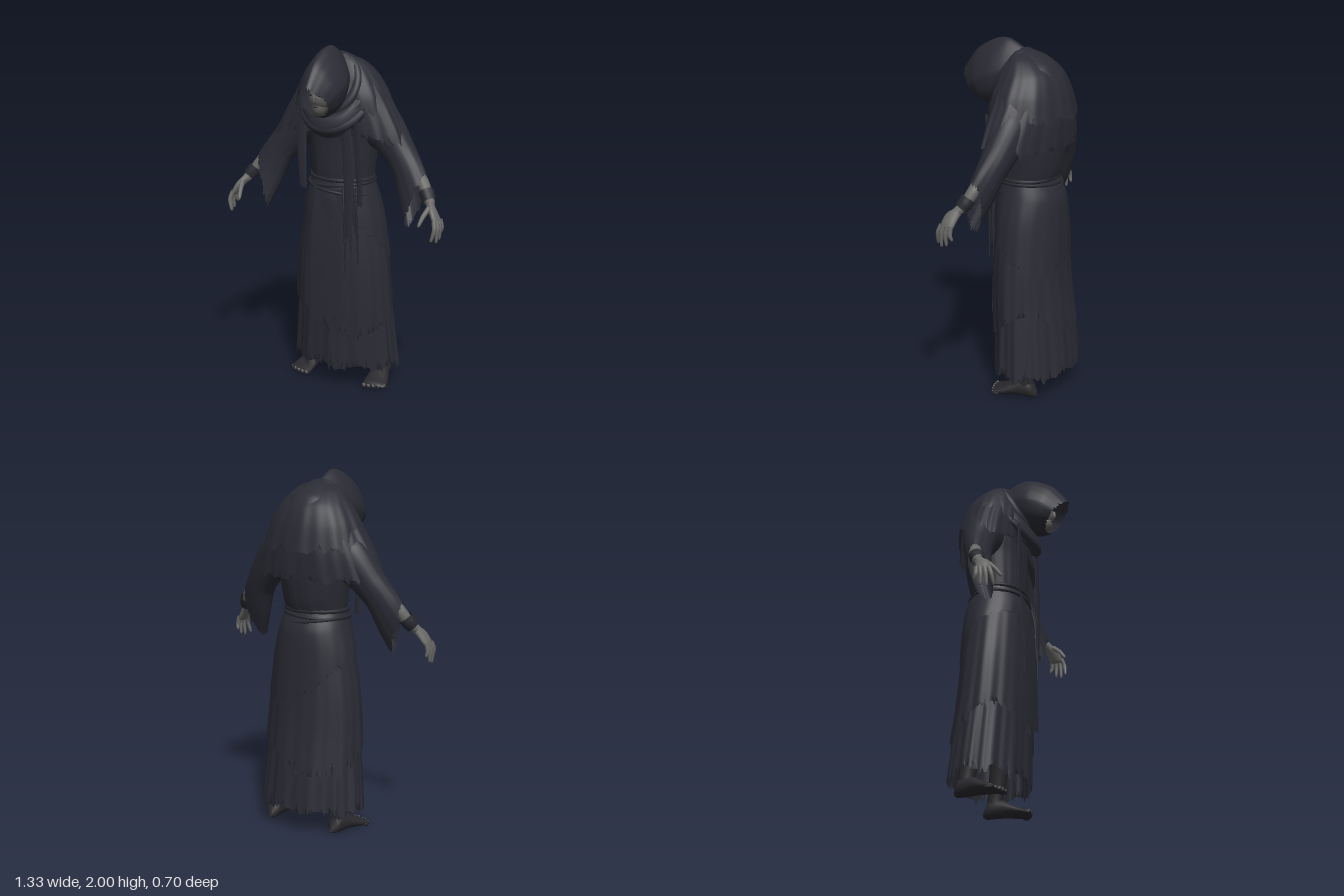
import * as THREE from 'three';

const mat = (name, color) => {
  const m = new THREE.MeshStandardMaterial({ color, side: THREE.DoubleSide });
  m.name = name;
  return m;
};

export function createModel() {
  const model = new THREE.Group();
  model.name = 'hoodedWanderer';
  const cloth = mat('charcoalCloth', 0x2a2b34);
  const wrap = mat('darkWrap', 0x27282f);
  const footSkin = mat('sootyFoot', 0x29292d);
  const skin = mat('ashSkin', 0x676765);
  const faceSkin = mat('shadedFace', 0x5c5b58);
  const dark = mat('eyeSocket', 0x2a2928);

  let seed = 7;
  const rand = () => (seed = (seed * 16807) % 2147483647) / 2147483647;

  const add = (name, geometry, material, parent = model) => {
    const mesh = new THREE.Mesh(geometry, material);
    mesh.name = name;
    parent.add(mesh);
    return mesh;
  };

  // Loft through sections [top, bottom, halfWidth]; end(a) trims the hem, rag tears it, sweep brings the sides forward
  const loft = (name, material, secs, o = {}) => {
    const { seg = 32, rows = 24, fold = 0, k = 11, rag = 0, end = () => 1, peak = 0, sweep = 0, parent = model } = o;
    const curve = (f) => new THREE.CatmullRomCurve3(secs.map(f), false, 'catmullrom', 0.4);
    const tops = curve((s) => new THREE.Vector3(...s[0]));
    const bots = curve((s) => new THREE.Vector3(...s[1]));
    const widths = curve((s) => new THREE.Vector3(s[2], 0, 0));
    const mid = (t) => tops.getPoint(t).add(bots.getPoint(t)).multiplyScalar(0.5);
    const pos = [], idx = [];
    for (let i = 0; i <= rows; i++) {
      for (let j = 0; j < seg; j++) {
        const a = (j / seg) * Math.PI * 2;
        let t = (i / rows) * end(a);
        if (i === rows) t -= rag * rand() * (j % 2 ? 1 : 0.4);
        t = Math.min(1, Math.max(0, t));
        const c = mid(t);
        const up = tops.getPoint(t).sub(c);
        const travel = mid(Math.min(1, t + 0.02)).sub(mid(Math.max(0, t - 0.02)));
        const side = up.clone().cross(travel).normalize();
        const f = 1 + fold * t * (Math.sin(k * a + 1) + 0.6 * Math.sin((k * 2 + 3) * a + 2 * t));
        const w = widths.getPoint(t).x * (1 - peak * Math.max(0, Math.cos(a)));
        c.addScaledVector(up, Math.cos(a) * f).addScaledVector(side, Math.sin(a) * w * f);
        pos.push(c.x, c.y, c.z + sweep * t * Math.sin(a) ** 2);
      }
    }
    for (let i = 0; i < rows; i++) {
      for (let j = 0; j < seg; j++) {
        const n = (j + 1) % seg, p = i * seg, q = p + seg;
        idx.push(p + j, q + j, q + n, p + j, q + n, p + n);
      }
    }
    const g = new THREE.BufferGeometry();
    g.setAttribute('position', new THREE.Float32BufferAttribute(pos, 3));
    g.setIndex(idx);
    g.computeVertexNormals();
    return add(name, g, material, parent);
  };
  // Upright garment ring: height, front z, back z, half width
  const ring = ([y, zf, zb, rx]) => [[0, y, zf], [0, y, zb], rx];
  const garment = (name, rings, o) => loft(name, cloth, rings.map(ring), { seg: 128, ...o });
  // Thin hanging strip from points [x, y, z, halfWidth]
  const strip = (name, pts, o) => loft(name, cloth,
    pts.map(([x, y, z, w]) => [[x, y, z + 0.006], [x, y, z - 0.006], w]), { seg: 16, rag: 0.12, ...o });
  // Round limb along points [x, y, z, radius]
  const limb = (name, material, pts, parent) => loft(name, material, pts.map(([x, y, z, r], i) => {
    const [a, b] = [pts[Math.max(0, i - 1)], pts[Math.min(pts.length - 1, i + 1)]];
    const d = new THREE.Vector3(b[0] - a[0], b[1] - a[1], b[2] - a[2]).normalize();
    const u = new THREE.Vector3(0, 0, 1).addScaledVector(d, -d.z).normalize().multiplyScalar(r);
    return [[x + u.x, y + u.y, z + u.z], [x - u.x, y - u.y, z - u.z], r];
  }), { seg: 12, rows: 10, parent });
  const blob = (name, material, p, s, parent = model) => {
    const m = add(name, new THREE.SphereGeometry(1, 20, 14), material, parent);
    m.position.set(...p);
    m.scale.set(...s);
  };

  // Skirt layers
  garment('underSkirt', [
    [1.23, 0.06, -0.21, 0.17], [1.1, 0.09, -0.25, 0.2], [0.8, 0.095, -0.27, 0.255],
    [0.4, 0.09, -0.31, 0.295], [0.08, 0.085, -0.345, 0.325],
  ], { fold: 0.024, rag: 0.13, rows: 30, end: (a) => 0.99 + 0.012 * Math.sin(8 * a) });
  garment('overSkirt', [
    [1.24, 0.07, -0.22, 0.178], [1.14, 0.095, -0.26, 0.207], [0.8, 0.105, -0.28, 0.272],
    [0.55, 0.105, -0.3, 0.295], [0.3, 0.1, -0.335, 0.308],
  ], { fold: 0.018, k: 9, rag: 0.12, end: (a) => 0.92 + 0.08 * Math.sin(2 * a + 0.5) });
  garment('hipWrap', [
    [1.24, 0.075, -0.225, 0.182], [1.14, 0.1, -0.268, 0.212], [1.0, 0.105, -0.28, 0.248], [0.7, 0.108, -0.29, 0.292],
  ], { fold: 0.01, k: 7, rag: 0.08, end: (a) => 0.78 - 0.18 * Math.cos(a) + 0.12 * Math.sin(a) });
  strip('frontPanel', [[-0.01, 1.2, 0.085, 0.09], [-0.01, 0.85, 0.112, 0.105], [0, 0.4, 0.115, 0.115]],
    { seg: 40, rag: 0.12 });

  // Torso and waist ropes
  garment('tunic', [
    [1.8, 0.04, -0.2, 0.16], [1.6, 0.09, -0.265, 0.215], [1.45, 0.085, -0.275, 0.2],
    [1.3, 0.08, -0.25, 0.185], [1.2, 0.07, -0.215, 0.175],
  ], { fold: 0.01 });
  [[1.245, 0, 0.012], [1.215, 0.05, 0.01], [1.185, -0.08, 0.009]].forEach(([y, tilt, r], i) => {
    const path = Array.from({ length: 24 }, (_, j) => {
      const a = (j / 24) * Math.PI * 2;
      return new THREE.Vector3(Math.sin(a) * (0.182 + i * 0.006), y + tilt * Math.sin(a) * 0.3,
        -0.075 + Math.cos(a) * (0.15 + i * 0.01));
    });
    add('waistRope', new THREE.TubeGeometry(new THREE.CatmullRomCurve3(path, true), 72, r, 8, true), wrap);
  });
  [[0.1, 0.72], [0.13, 0.85], [0.17, 0.78], [0.15, 0.95]].forEach(([x, y], i) => limb('ropeEnd', wrap, [
    [x - 0.02, 1.22, 0.08, 0.008], [x, 1.05, 0.105 - i * 0.008, 0.007], [x + 0.01, y, 0.105 - i * 0.008, 0.004]]));

  // Shoulder capes
  garment('lowerCape', [
    [1.92, 0.02, -0.1, 0.07], [1.86, 0.04, -0.19, 0.165], [1.78, 0.07, -0.25, 0.235],
    [1.66, 0.08, -0.28, 0.31], [1.54, 0.08, -0.285, 0.375], [1.4, 0.08, -0.28, 0.43],
  ], { fold: 0.02, rag: 0.14, sweep: 0.055, end: (a) => 0.94 - 0.06 * Math.cos(a) });
  garment('upperCape', [
    [1.94, 0, -0.05, 0.06], [1.9, 0.03, -0.15, 0.14], [1.825, 0.07, -0.24, 0.21],
    [1.72, 0.1, -0.285, 0.275], [1.57, 0.11, -0.315, 0.325],
  ], { fold: 0.018, k: 8, rag: 0.1, sweep: 0.02, end: (a) => 0.95 - 0.05 * Math.cos(a) });

  // Draped cowl: a broad tilted band with rolled folds around the neck
  loft('cowlDrape', cloth, [
    [[0, 1.66, 0.1], [0, 1.95, -0.05], 0.14], [[0, 1.61, 0.155], [0, 1.925, -0.12], 0.18],
    [[0, 1.55, 0.165], [0, 1.88, -0.2], 0.21], [[0, 1.5, 0.13], [0, 1.83, -0.24], 0.215],
  ], { seg: 72, fold: 0.008, k: 5 });
  for (let i = 0; i < 3; i++) {
    const path = Array.from({ length: 20 }, (_, j) => {
      const a = (j / 20) * Math.PI * 2, f = (1 + Math.cos(a)) / 2;
      return new THREE.Vector3(Math.sin(a) * (0.14 + i * 0.026),
        THREE.MathUtils.lerp(1.925 - i * 0.03, 1.645 - i * 0.05, f),
        THREE.MathUtils.lerp(-0.04 - i * 0.06, 0.11 + i * 0.015, f));
    });
    add('cowlFold', new THREE.TubeGeometry(new THREE.CatmullRomCurve3(path, true), 72, 0.028, 12, true), cloth);
  }
  strip('rightScarfEnd', [[-0.16, 1.62, 0.1, 0.025], [-0.165, 1.4, 0.105, 0.028], [-0.16, 1.18, 0.1, 0.022]]);
  strip('leftScarfEnd', [[0.11, 1.6, 0.11, 0.03], [0.13, 1.3, 0.11, 0.032], [0.13, 0.92, 0.11, 0.02]]);
  strip('leftOuterScarfEnd', [[0.17, 1.6, 0.1, 0.02], [0.18, 1.35, 0.085, 0.022], [0.18, 1.1, 0.07, 0.014]]);

  // Hood, running from the nape to the drooping peak
  loft('hood', cloth, [
    [[0, 1.94, -0.05], [0, 1.7, -0.02], 0.08], [[0, 1.995, 0.06], [0, 1.66, 0.06], 0.11],
    [[0, 1.985, 0.15], [0, 1.63, 0.12], 0.128], [[0, 1.92, 0.265], [0, 1.62, 0.18], 0.12],
    [[0, 1.8, 0.357], [0, 1.635, 0.215], 0.085],
  ], { seg: 64, rag: 0.06, peak: 0.42, fold: 0.01, k: 6 });

  // Gaunt face tapering to the chin
  blob('face', faceSkin, [0, 1.735, 0.185], [0.062, 0.07, 0.075]);
  blob('jaw', faceSkin, [0, 1.685, 0.2], [0.04, 0.052, 0.05]);
  blob('nose', faceSkin, [0, 1.735, 0.258], [0.009, 0.026, 0.014]);
  blob('mouth', dark, [0, 1.69, 0.248], [0.018, 0.004, 0.004]);

  for (const s of [1, -1]) {
    const side = s > 0 ? 'left' : 'right';
    const arm = new THREE.Group();
    arm.name = side + 'Arm';
    model.add(arm);
    blob('eye', dark, [s * 0.025, 1.755, 0.25], [0.012, 0.006, 0.004]);

    // Sleeve with a torn bell opening, shorter along the top
    loft('sleeve', cloth, [
      [[s * 0.13, 1.75, -0.1], [s * 0.14, 1.43, -0.1], 0.12], [[s * 0.31, 1.64, -0.09], [s * 0.22, 1.4, -0.095], 0.1],
      [[s * 0.425, 1.47, -0.07], [s * 0.33, 1.29, -0.065], 0.08], [[s * 0.5, 1.36, -0.045], [s * 0.385, 1.15, -0.03], 0.066],
      [[s * 0.555, 1.265, -0.02], [s * 0.445, 1, 0.025], 0.055],
    ], { seg: 64, fold: 0.02, k: 5, rag: 0.08, end: (a) => 0.95 - 0.05 * Math.cos(a), parent: arm });
    // Forearm, wrist wrap, palm and fingers
    limb('forearm', skin, [[s * 0.455, 1.335, -0.05, 0.034], [s * 0.515, 1.268, -0.03, 0.034],
      [s * 0.56, 1.2, 0, 0.028], [s * 0.585, 1.17, 0.025, 0.026]], arm);
    limb('wristWrap', wrap, [[s * 0.539, 1.235, -0.014, 0.042], [s * 0.556, 1.208, -0.002, 0.041],
      [s * 0.572, 1.184, 0.012, 0.036]], arm);
    loft('palm', skin, [
      [[s * 0.58, 1.19, 0.04], [s * 0.57, 1.17, -0.002], 0.02], [[s * 0.61, 1.145, 0.085], [s * 0.605, 1.135, 0.01], 0.021],
      [[s * 0.635, 1.09, 0.1], [s * 0.64, 1.09, 0.02], 0.017], [[s * 0.638, 1.075, 0.09], [s * 0.642, 1.075, 0.03], 0.004],
    ], { seg: 16, rows: 10, parent: arm });
    [[0.635, 0.095, 0.632, 0.99, 0.12], [0.642, 0.073, 0.648, 0.98, 0.088],
      [0.645, 0.05, 0.652, 0.99, 0.055], [0.645, 0.03, 0.65, 1.02, 0.022]].forEach(([x, z, tx, ty, tz]) => {
      limb('finger', skin, [[s * x, 1.1, z, 0.013], [s * (x + 0.01), 1.055, (z + tz) / 2 + 0.004, 0.012],
        [s * tx, ty + 0.01, tz, 0.008], [s * (tx - 0.003), ty, tz, 0.002]], arm);
    });
    limb('thumb', skin, [[s * 0.59, 1.16, 0.06, 0.015], [s * 0.575, 1.12, 0.105, 0.013],
      [s * 0.565, 1.08, 0.135, 0.009], [s * 0.563, 1.07, 0.14, 0.002]], arm);

    // Bare foot, turned slightly outward, and shin
    const leg = new THREE.Group();
    leg.name = side + 'Leg';
    model.add(leg);
    limb('shin', footSkin, [[s * 0.13, 0.95, -0.09, 0.085], [s * 0.17, 0.55, -0.12, 0.065], [s * 0.21, 0.25, -0.155, 0.052],
      [s * 0.217, 0.11, -0.175, 0.045], [s * 0.217, 0.04, -0.18, 0.045]], leg);
    loft('foot', footSkin, [
      [[s * 0.212, 0.04, -0.243], [s * 0.212, 0.01, -0.243], 0.012], [[s * 0.215, 0.11, -0.2], [s * 0.215, 0, -0.22], 0.042],
      [[s * 0.224, 0.1, -0.13], [s * 0.224, 0.002, -0.13], 0.052], [[s * 0.238, 0.058, -0.05], [s * 0.238, 0, -0.05], 0.068],
      [[s * 0.246, 0.036, 0], [s * 0.246, 0, 0], 0.07], [[s * 0.248, 0.022, 0.015], [s * 0.248, 0.008, 0.015], 0.055],
    ], { seg: 24, parent: leg });
    for (let i = 0; i < 5; i++) {
      const x = s * (0.192 + i * 0.028), z = 0.018 - i * i * 0.0025, r = 0.018 - i * 0.0015;
      blob('toe', footSkin, [x, 0.014, z], [r, 0.014, 0.024], leg);
      blob('toenail', skin, [x, 0.024, z + 0.011], [r * 0.55, 0.004, 0.008], leg);
    }
  }
  return model;
}
